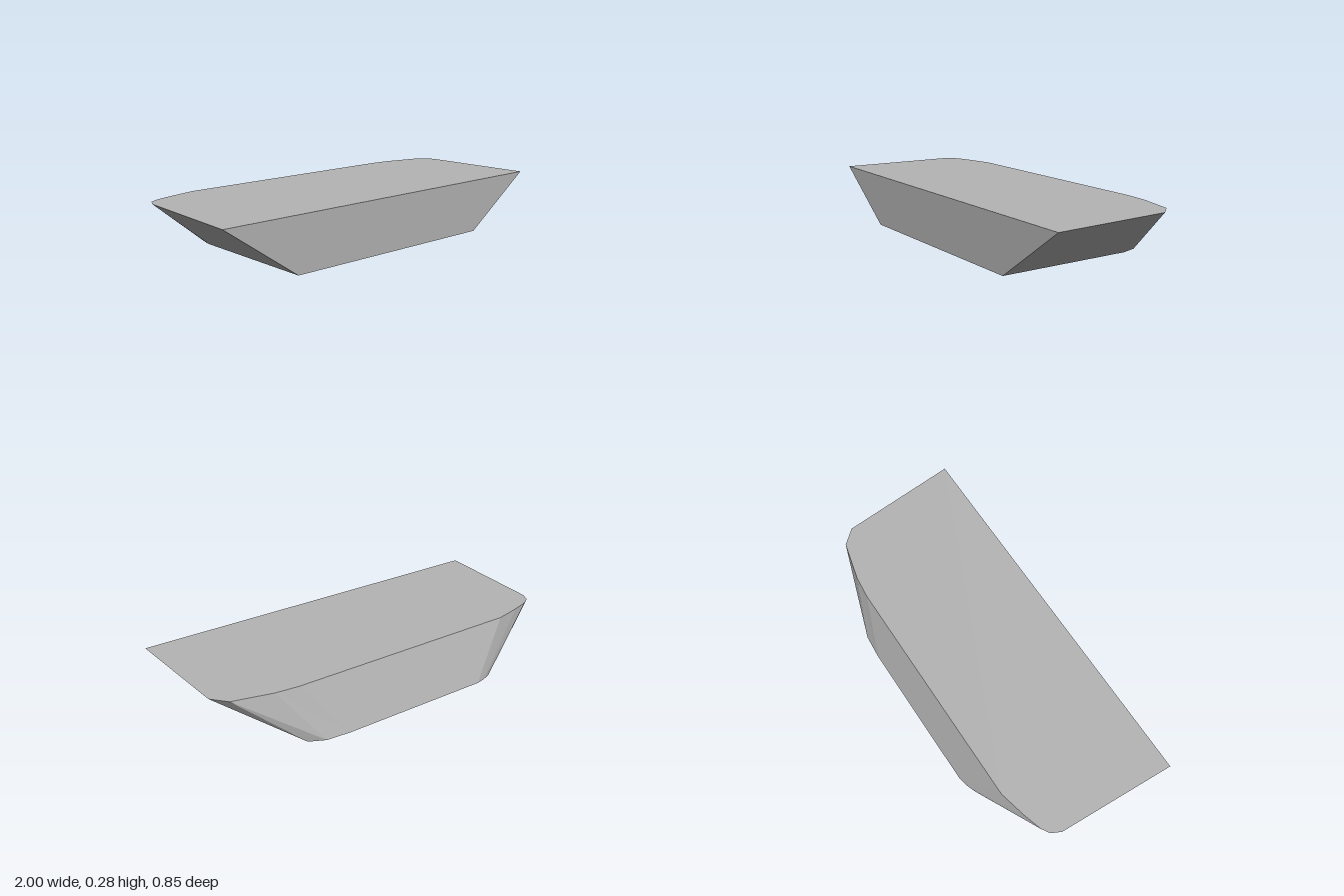
import * as THREE from 'three';

const HEIGHT = 0.275;

// Matching outlines as [x, z], running front +x -> back -> front -x
const RIM = [
  [1, 0.425], [0.965, -0.19], [0.9, -0.265], [0.7, -0.315], [0.58, -0.327],
  [-0.66, -0.327], [-0.8, -0.295], [-0.9, -0.265], [-0.94, -0.24], [-0.965, -0.19], [-1, 0.425],
];
const BASE = [
  [0.605, 0.425], [0.6, -0.29], [0.575, -0.375], [0.495, -0.415], [0.37, -0.425],
  [-0.434, -0.425], [-0.485, -0.414], [-0.535, -0.395], [-0.59, -0.34], [-0.6, -0.29], [-0.605, 0.425],
];

function facetGeometry(triangles) {
  const geometry = new THREE.BufferGeometry();
  geometry.setAttribute('position', new THREE.Float32BufferAttribute(triangles.flat(2), 3));
  geometry.computeVertexNormals();
  return geometry;
}

// Flat cap: a triangle fan over an outline
function cap(points, flip) {
  const triangles = [];
  for (let i = 1; i < points.length - 1; i++) {
    const [p, q] = flip ? [points[i + 1], points[i]] : [points[i], points[i + 1]];
    triangles.push([points[0], p, q]);
  }
  return facetGeometry(triangles);
}

// Faceted walls joining the base outline to the rim, diagonals mirrored per side
function walls(bottom, top) {
  const triangles = [];
  const n = bottom.length;
  for (let i = 0; i < n; i++) {
    const j = (i + 1) % n;
    if (i < n / 2) {
      triangles.push([bottom[i], bottom[j], top[i]], [bottom[j], top[j], top[i]]);
    } else {
      triangles.push([bottom[i], bottom[j], top[j]], [bottom[i], top[j], top[i]]);
    }
  }
  return facetGeometry(triangles);
}

export function createModel() {
  const group = new THREE.Group();
  group.name = 'flaredBlock';
  const grey = new THREE.MeshStandardMaterial({ color: 0xb4b4b4 });
  grey.name = 'grey';
  grey.flatShading = true;

  const top = RIM.map(([x, z]) => [x, HEIGHT, z]);
  const bottom = BASE.map(([x, z]) => [x, 0, z]);

  const add = (name, geometry) => {
    const mesh = new THREE.Mesh(geometry, grey);
    mesh.name = name;
    group.add(mesh);
  };
  add('topFace', cap(top, false));
  add('bottomFace', cap(bottom, true));
  add('slopedWalls', walls(bottom, top));
  return group;
}
